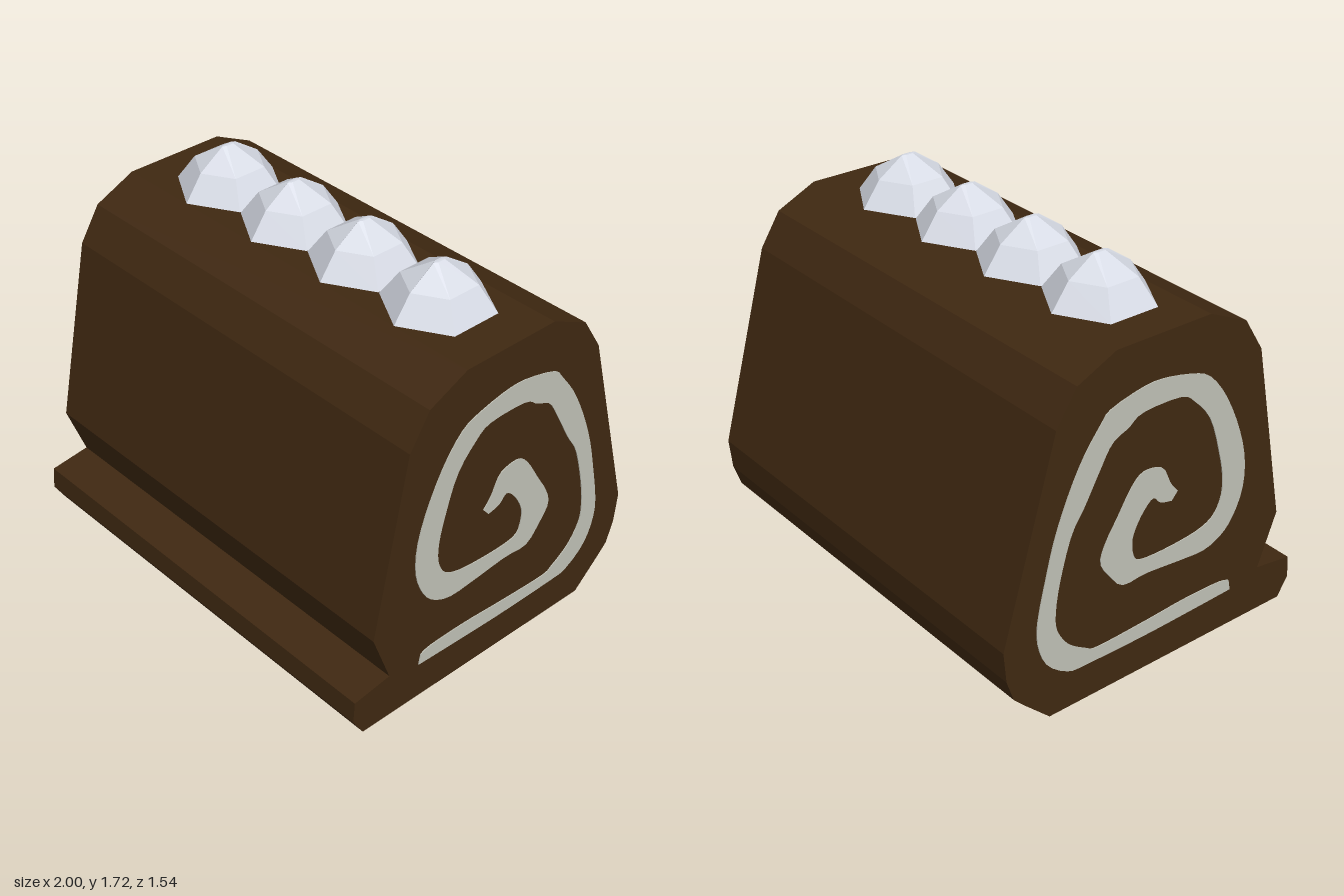
import * as THREE from 'three';

const chocolate = new THREE.MeshStandardMaterial({ color: 0x3f2811 });
chocolate.name = 'chocolate';
const filling = new THREE.MeshStandardMaterial({ color: 0xbfc0b5 });
filling.name = 'creamFilling';
const whipped = new THREE.MeshStandardMaterial({ color: 0xd5d9e3, flatShading: true });
whipped.name = 'whippedCream';

// Flat [z, y, z, y, ...] list to points; shape x is -z
const points = (list) => {
  const out = [];
  for (let i = 0; i < list.length; i += 2) out.push(new THREE.Vector2(-list[i], list[i + 1]));
  return out;
};

// Extrude a shape along x, centred on the given x
function slab(name, shape, material, length, x) {
  const geo = new THREE.ExtrudeGeometry(shape, { depth: length, bevelEnabled: false });
  geo.translate(0, 0, -length / 2).rotateY(Math.PI / 2);
  const mesh = new THREE.Mesh(geo, material);
  mesh.name = name;
  mesh.position.x = x;
  return mesh;
}

// Cross-section of the rolled cake with the loose end at the front
const PROFILE = [
  0.58, 0.23, 0.765, 0.205, 0.772, 0.105, 0.72, 0.02, -0.54, 0, -0.67, 0.12,
  -0.72, 0.17, -0.755, 0.27, -0.77, 0.41, -0.53, 1.29, -0.435, 1.44, -0.25, 1.527,
  0.22, 1.527, 0.41, 1.44, 0.505, 1.288, 0.67, 0.47,
];

// Outer edge of the swirl, from the tail to the middle
const OUTER = [
  0.42, 0.19, 0.21, 0.18, -0.06, 0.17, -0.36, 0.17, -0.45, 0.18, -0.55, 0.25, -0.6, 0.35,
  -0.61, 0.47, -0.57, 0.67, -0.53, 0.83, -0.47, 0.99, -0.4, 1.13, -0.32, 1.24, -0.27, 1.29,
  -0.11, 1.33, 0, 1.33, 0.14, 1.3, 0.23, 1.26, 0.32, 1.15, 0.4, 0.99, 0.45, 0.83,
  0.455, 0.69, 0.42, 0.58, 0.36, 0.5, 0.26, 0.455, 0.12, 0.46, -0.06, 0.475, -0.18, 0.47,
  -0.25, 0.54, -0.3, 0.62, -0.28, 0.7, -0.22, 0.8, -0.16, 0.9, -0.11, 0.95, -0.05, 0.955,
  0.01, 0.93, 0.05, 0.85, 0.09, 0.8,
];

// Inner edge, from the middle back to the tail
const INNER = [
  0.06, 0.765, 0, 0.78, -0.04, 0.815, -0.09, 0.77, -0.13, 0.7, -0.14, 0.64, -0.12, 0.57,
  -0.06, 0.55, 0.07, 0.55, 0.21, 0.565, 0.29, 0.6, 0.33, 0.67, 0.335, 0.76, 0.31, 0.88,
  0.25, 1.06, 0.16, 1.17, 0.08, 1.22, -0.11, 1.22, -0.18, 1.18, -0.26, 1.14, -0.32, 1.04,
  -0.39, 0.91, -0.45, 0.81, -0.5, 0.63, -0.52, 0.49, -0.51, 0.4, -0.45, 0.31, -0.36, 0.25,
  -0.3, 0.23, -0.06, 0.24, 0.16, 0.255, 0.35, 0.255, 0.41, 0.24,
];

export function createModel() {
  const cake = new THREE.Group();
  cake.name = 'rolledCake';

  // Cake roll
  cake.add(slab('cakeRoll', new THREE.Shape(points(PROFILE)), chocolate, 1.992, 0));

  // Cream swirl on both ends
  const edges = [OUTER, INNER].flatMap((list) =>
    new THREE.SplineCurve(points(list)).getPoints(100));
  const swirl = new THREE.Shape(edges);
  for (const side of [1, -1]) {
    cake.add(slab(side > 0 ? 'leftSwirl' : 'rightSwirl', swirl, filling, 0.006, side * 0.997));
  }

  // Row of six-sided cream dollops, each pinched into a short ridge on top
  const dollopGeo = new THREE.LatheGeometry([
    new THREE.Vector2(0, 0), new THREE.Vector2(0.236, 0), new THREE.Vector2(0.155, 0.113),
    new THREE.Vector2(0.035, 0.195), new THREE.Vector2(0, 0.196),
  ], 6);
  const pos = dollopGeo.attributes.position;
  for (let i = 0; i < pos.count; i++) {
    if (pos.getY(i) > 0.15) pos.setX(i, pos.getX(i) * 0.3);
  }
  for (let i = 0; i < 4; i++) {
    const dollop = new THREE.Mesh(dollopGeo, whipped);
    dollop.name = `creamDollop${i + 1}`;
    dollop.position.set(-0.626 + i * 0.412, 1.526, -0.016);
    cake.add(dollop);
  }
  return cake;
}
